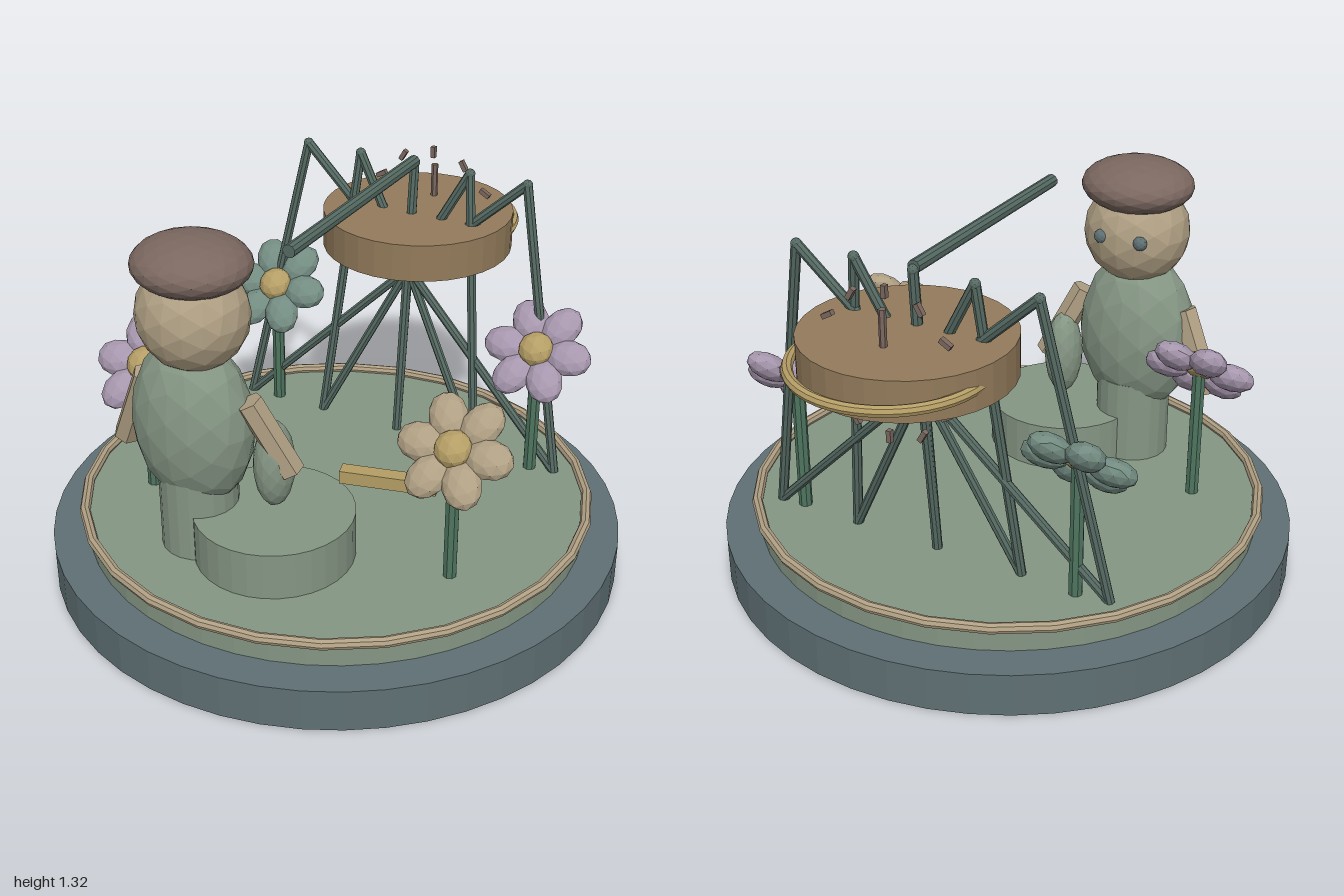
import * as THREE from 'three';

const mat = (name, color) => {
  const m = new THREE.MeshStandardMaterial({ color, flatShading: true });
  m.name = name;
  return m;
};

export function createModel() {
  const model = new THREE.Group();
  const slate = mat('slate', 0x5f7074);
  const sage = mat('sage', 0x859684);
  const brown = mat('dark brown', 0x7b6860);
  const tan = mat('tan', 0xb0a084);
  const lilac = mat('lilac', 0xa797ae);
  const wood = mat('wood', 0x937b5b);
  const yellow = mat('straw yellow', 0xb59e66);
  const iron = mat('grey green', 0x566b63);
  const stemGreen = mat('stem green', 0x4f7560);
  const teal = mat('muted teal', 0x738c82);

  const add = (name, geo, material, pos, parent = model) => {
    const m = new THREE.Mesh(geo, material);
    m.name = name;
    m.position.set(...pos);
    parent.add(m);
    return m;
  };
  // Upright cylinder between two heights
  const drum = (name, material, r, y0, y1, x, z, sides, parent) =>
    add(name, new THREE.CylinderGeometry(r, r, y1 - y0, sides), material, [x, (y0 + y1) / 2, z], parent);
  // Faceted ellipsoid
  const blob = (name, material, pos, radii, detail, parent) =>
    add(name, new THREE.IcosahedronGeometry(1, detail).scale(...radii), material, pos, parent);
  // Straight rod between two points
  const rod = (name, material, a, b, r, sides, parent) => {
    const p = new THREE.Vector3(...a), d = new THREE.Vector3(...b).sub(p);
    const mid = p.clone().addScaledVector(d, 0.5);
    const m = add(name, new THREE.CylinderGeometry(r, r, d.length(), sides), material, mid.toArray(), parent);
    m.quaternion.setFromUnitVectors(new THREE.Vector3(0, 1, 0), d.normalize());
    return m;
  };

  // Stepped round base with a rim
  drum('base', slate, 0.98, 0, 0.148, 0, 0.018, 48);
  drum('deck', sage, 0.86, 0.148, 0.225, 0, 0.018, 48);
  add('deckRim', new THREE.TorusGeometry(0.867, 0.018, 8, 28).rotateX(Math.PI / 2), tan, [0, 0.235, 0.018]);

  // Seat block
  drum('stool', sage, 0.265, 0.22, 0.388, 0, 0.434, 32);

  // Figure, facing the drum
  const figure = new THREE.Group();
  figure.name = 'figure';
  model.add(figure);
  drum('lowerBody', sage, 0.13, 0.22, 0.52, -0.25, 0.49, 20, figure);
  blob('body', sage, [-0.255, 0.68, 0.495], [0.212, 0.3, 0.158], 2, figure);
  blob('head', tan, [-0.24, 1.06, 0.492], [0.184, 0.184, 0.174], 2, figure);
  blob('cap', brown, [-0.24, 1.226, 0.485], [0.193, 0.09, 0.182], 3, figure);
  for (const s of [-1, 1]) {
    blob('eye', slate, [-0.25 + s * 0.072, 1.075, 0.337], [0.025, 0.025, 0.02], 1, figure);
  }
  rod('outerArm', tan, [-0.43, 0.8, 0.49], [-0.55, 0.525, 0.46], 0.045, 6, figure);
  rod('innerArm', tan, [-0.05, 0.8, 0.49], [0.065, 0.55, 0.43], 0.045, 6, figure);
  blob('bundle', sage, [0.003, 0.56, 0.432], [0.066, 0.155, 0.075], 2, figure);

  // Round wooden drum with a half hoop behind it
  drum('woodenDrum', wood, 0.335, 0.93, 1.062, 0, -0.585, 32);
  add('halfHoop', new THREE.TorusGeometry(0.302, 0.018, 8, 24, Math.PI).rotateX(-Math.PI / 2), yellow, [0, 0.995, -0.68]);

  // Dial marks and two hands standing in the drum
  for (let i = 0; i < 12; i++) {
    const a = (i * Math.PI) / 6;
    const mark = add('dialMark', new THREE.BoxGeometry(0.016, 0.04, 0.018), brown,
      [0.235 * Math.sin(a), 0.995 + 0.235 * Math.cos(a), -0.7]);
    mark.rotation.z = a;
  }
  rod('longHand', brown, [0, 0.99, -0.715], [0, 1.18, -0.715], 0.012, 6);
  rod('shortHand', brown, [0, 0.99, -0.71], [0.13, 0.9, -0.71], 0.012, 6);

  // Frame: each bent leg runs from the hub up to a knee, down to a foot and back
  const frame = new THREE.Group();
  frame.name = 'frame';
  model.add(frame);
  const hub = [0, 0.85, -0.52];
  for (const s of [-2, -1, 0, 1, 2]) {
    const knee = [s * 0.21, 1.24, -0.548], foot = [s * 0.312, 0.225, -0.45];
    rod('upperLeg', iron, hub, knee, 0.017, 8, frame);
    rod('lowerLeg', iron, knee, foot, 0.017, 8, frame);
    rod('strut', iron, hub, foot, 0.016, 8, frame);
    blob('knee', iron, knee, [0.018, 0.018, 0.018], 1, frame);
  }
  rod('boom', iron, [0, 1.248, -0.545], [0, 1.248, 0.315], 0.022, 10, frame);

  // Small plank
  add('plank', new THREE.BoxGeometry(0.315, 0.045, 0.05), yellow, [0.325, 0.5, 0.262]).rotation.y = 0.25;

  // Flowers, tilted up and forward
  const flower = (x, z, petalMat) => {
    const g = new THREE.Group();
    g.name = 'flower';
    model.add(g);
    drum('stem', stemGreen, 0.023, 0.22, 0.68, x, z, 8, g);
    const bloom = new THREE.Group();
    bloom.name = 'bloom';
    bloom.position.set(x, 0.692, z);
    bloom.rotation.x = -Math.PI / 4;
    g.add(bloom);
    for (let i = 0; i < 6; i++) {
      const a = (i * Math.PI) / 3;
      const p = blob('petal', petalMat, [0.115 * Math.cos(a), 0.115 * Math.sin(a), 0], [0.08, 0.064, 0.043], 1, bloom);
      p.rotation.z = a;
    }
    blob('flowerCentre', yellow, [0, 0, 0.02], [0.062, 0.062, 0.045], 1, bloom);
  };
  flower(0.56, 0.285, tan);
  flower(-0.58, 0.285, lilac);
  flower(0.535, -0.44, lilac);
  flower(-0.51, -0.46, teal);

  return model;
}
